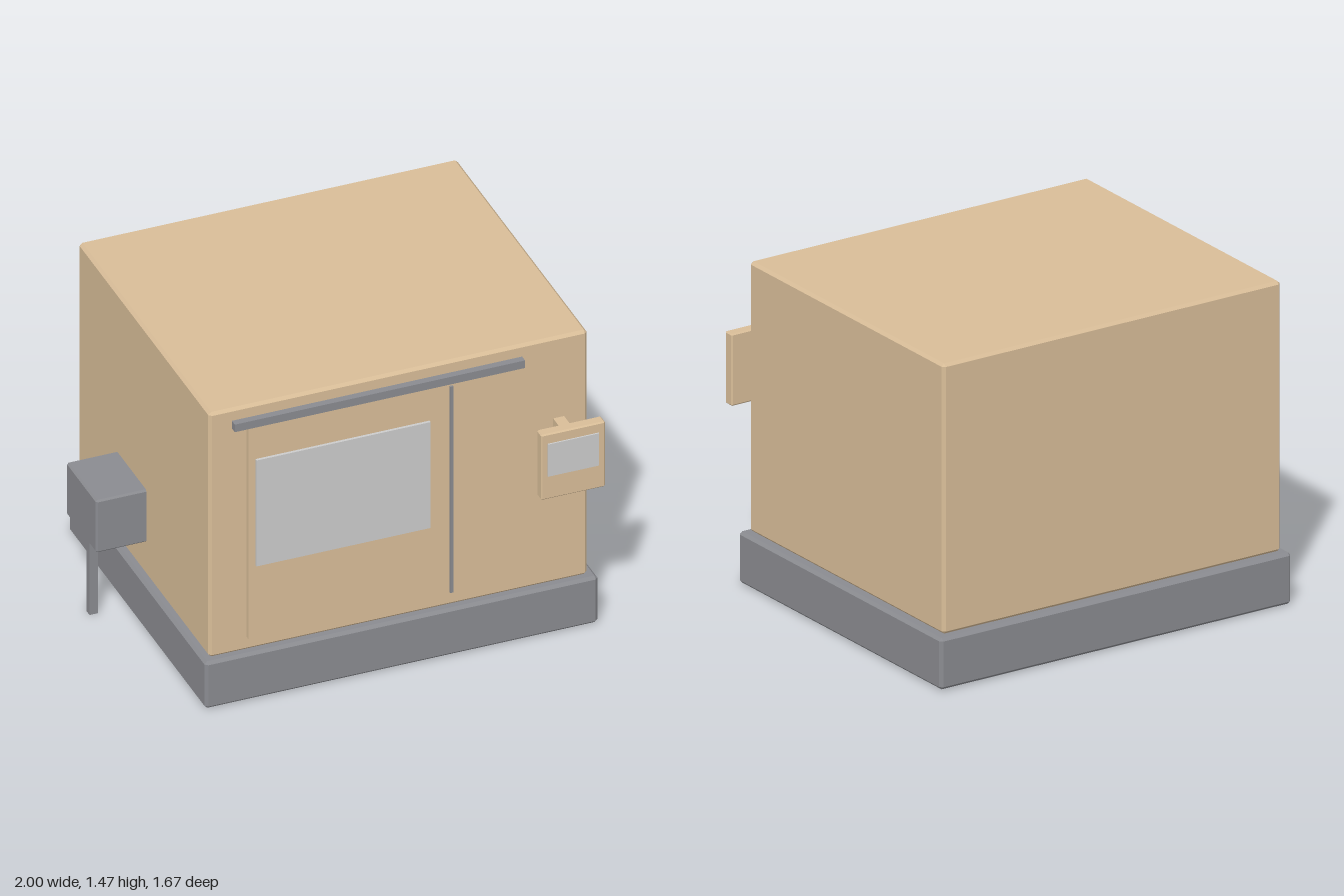
import * as THREE from 'three';
import { ConvexGeometry } from 'three/addons/geometries/ConvexGeometry.js';

const tan = new THREE.MeshStandardMaterial({ color: 0xd8bd98 });
const dark = new THREE.MeshStandardMaterial({ color: 0x8a8b90 });
const grey = new THREE.MeshStandardMaterial({ color: 0xcccccc });

// Box with chamfered edges: three points around each corner
function chamferBox(w, h, d, c) {
  const points = [];
  for (const sx of [-1, 1]) for (const sy of [-1, 1]) for (const sz of [-1, 1]) {
    for (let axis = 0; axis < 3; axis++) {
      const half = [w / 2 - c, h / 2 - c, d / 2 - c];
      half[axis] += c;
      points.push(new THREE.Vector3(sx * half[0], sy * half[1], sz * half[2]));
    }
  }
  return new ConvexGeometry(points);
}

export function createModel() {
  const model = new THREE.Group();
  model.name = 'sealedCabin';

  // Each part is given by its [min, max] range on every axis
  function part(name, material, [x0, x1], [y0, y1], [z0, z1], chamfer = 0) {
    const w = x1 - x0, h = y1 - y0, d = z1 - z0;
    const geometry = chamfer ? chamferBox(w, h, d, chamfer) : new THREE.BoxGeometry(w, h, d);
    const mesh = new THREE.Mesh(geometry, material);
    mesh.name = name;
    mesh.position.set((x0 + x1) / 2, (y0 + y1) / 2, (z0 + z1) / 2);
    model.add(mesh);
  }

  // Plinth and main body
  part('base', dark, [-0.8, 1], [0.003, 0.237], [-0.833, 0.695], 0.013);
  part('body', tan, [-0.77, 0.963], [0.237, 1.467], [-0.797, 0.665], 0.013);

  // Sliding door with window, handle and top rail
  part('door', tan, [-0.6, 0.597], [0.305, 1.375], [0.655, 0.685]);
  part('doorWindow', grey, [-0.567, 0.23], [0.67, 1.203], [0.67, 0.698]);
  part('doorHandle', dark, [0.322, 0.337], [0.317, 1.355], [0.675, 0.694]);
  part('doorRail', dark, [-0.667, 0.663], [1.37, 1.408], [0.66, 0.698]);

  // Control panel on its arm
  part('panelArm', tan, [0.805, 0.855], [1.01, 1.062], [0.655, 0.785]);
  part('controlPanel', tan, [0.685, 0.978], [0.772, 1.1], [0.775, 0.826], 0.006);
  part('panelScreen', grey, [0.713, 0.947], [0.89, 1.052], [0.82, 0.833]);

  // Side unit and its support leg
  part('sideUnit', dark, [-1, -0.76], [0.405, 0.668], [-0.37, -0.037], 0.008);
  part('sideUnitLeg', dark, [-0.97, -0.932], [0, 0.415], [-0.222, -0.185]);

  return model;
}
